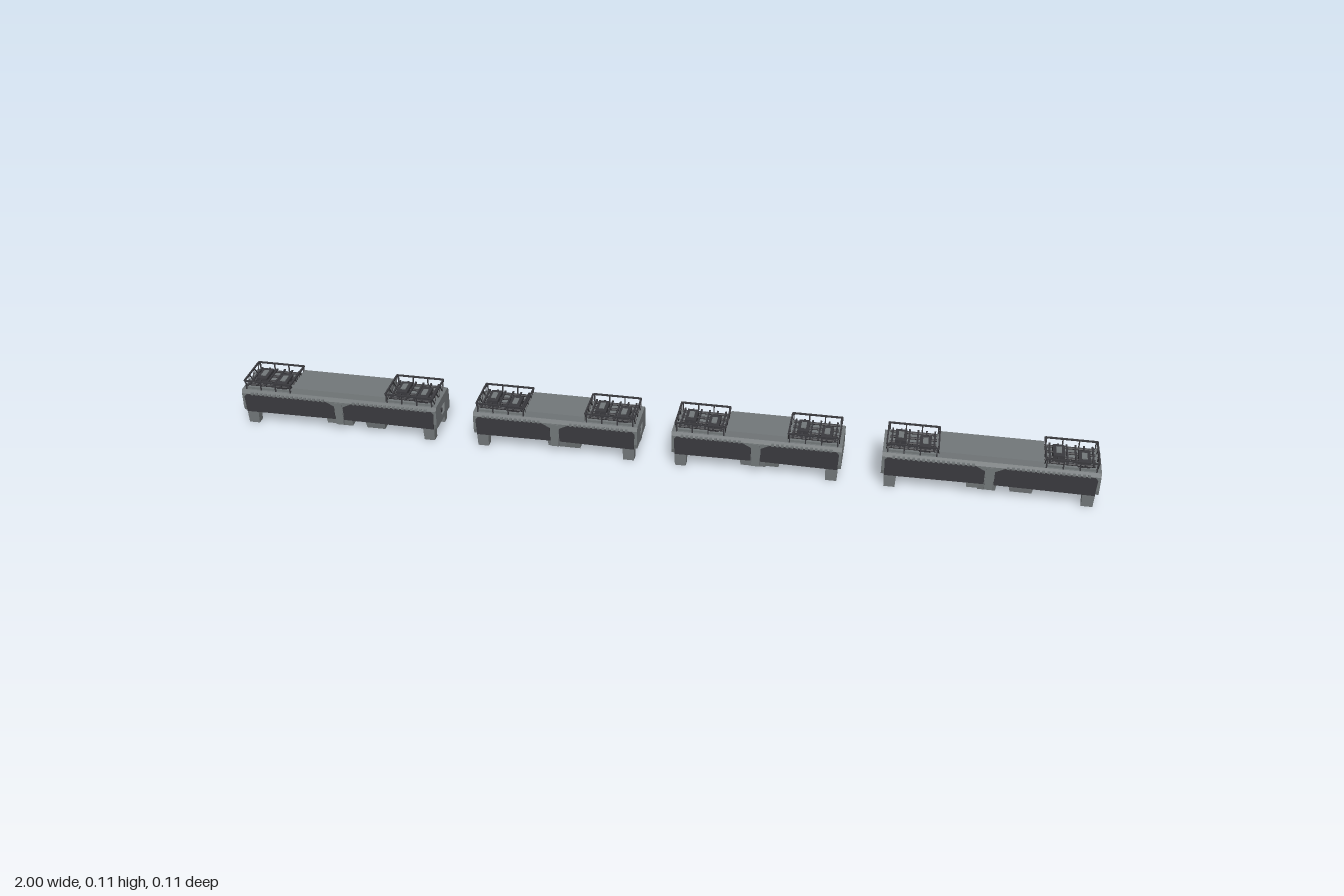
import * as THREE from 'three';

const mat = (name, color) => Object.assign(new THREE.MeshStandardMaterial({ color, flatShading: true }), { name });

export function createModel() {
  const grey = mat('body grey', 0x727779);
  const dark = mat('charcoal panel', 0x3a3a3e);
  const train = new THREE.Group();
  train.name = 'fourCarTrain';

  const add = (parent, name, geo, m, x = 0, y = 0, z = 0) => {
    const mesh = new THREE.Mesh(geo, m);
    mesh.name = name;
    mesh.position.set(x, y, z);
    parent.add(mesh);
    return mesh;
  };
  // Box given by its limits on each axis
  const box = (parent, name, m, x0, x1, y0, y1, z0, z1) =>
    add(parent, name, new THREE.BoxGeometry(x1 - x0, y1 - y0, z1 - z0), m, (x0 + x1) / 2, (y0 + y1) / 2, (z0 + z1) / 2);
  // Extrude a (z, y) section along x; the turn mirrors z, and every section is symmetric
  const alongX = (shape, x0, x1) => new THREE.ExtrudeGeometry(shape, { depth: x1 - x0, bevelEnabled: false })
    .rotateY(Math.PI / 2).translate(x0, 0, 0);
  const poly = (Type, pts) => new Type(pts.map(p => new THREE.Vector2(...p)));
  // Box narrowing toward the bottom
  const tapered = (w, h, d, k) => {
    const g = new THREE.BoxGeometry(w, h, d);
    const p = g.attributes.position;
    for (let i = 0; i < p.count; i++) if (p.getY(i) < 0) p.setXYZ(i, p.getX(i) * k, p.getY(i), p.getZ(i) * k);
    g.computeVertexNormals();
    return g;
  };

  const section = [[-0.049, 0.033], [0.049, 0.033], [0.052, 0.044], [0.052, 0.08], [0.047, 0.089], [-0.047, 0.089], [-0.052, 0.08], [-0.052, 0.044]];

  // Open equipment rack on the roof, from x0 to x1
  function roofRack(parent, x0, x1) {
    const rack = new THREE.Group();
    rack.name = 'roofRack';
    parent.add(rack);
    const t = 0.0018, top = 0.113, mid = (x0 + x1) / 2, len = x1 - x0;
    for (const s of [-1, 1]) {
      box(rack, 'sideRail', dark, x0, x1, top - 2 * t, top, s * 0.045 - t, s * 0.045 + t);
      for (let i = 0; i < 4; i++) {
        const x = x0 + 0.003 + (len - 0.006) * i / 3;
        box(rack, 'railPost', dark, x - 0.0014, x + 0.0014, 0.088, top - t, s * 0.045 - 0.0012, s * 0.045 + 0.0012);
      }
      box(rack, 'traySide', grey, x0, x1, 0.088, 0.094, s * 0.041 - 0.0015, s * 0.041 + 0.0015);
    }
    for (const x of [x0, x1]) {
      box(rack, 'endRail', dark, x - t, x + t, top - 2 * t, top, -0.045, 0.045);
      // zigzag bracing under the end rail
      for (let i = 0; i < 6; i++) {
        const brace = box(rack, 'endBrace', dark, x - 0.001, x + 0.001, 0.0868, 0.1112, -0.001, 0.001);
        brace.position.z = -0.0375 + i * 0.015;
        brace.rotation.x = i % 2 ? 0.58 : -0.58;
      }
    }
    // pipes, crossbars and units lying on the grey deck
    for (let i = 0; i < 4; i++) {
      const pipe = add(rack, 'roofPipe', new THREE.CylinderGeometry(0.003, 0.003, len - 0.01, 6), dark, mid, 0.096, -0.033 + i * 0.022);
      pipe.rotation.z = Math.PI / 2;
    }
    for (let i = 0; i < 6; i++) {
      const x = x0 + 0.01 + (len - 0.02) * i / 5;
      box(rack, 'crossBar', dark, x - 0.002, x + 0.002, 0.098, 0.101, -0.04, 0.04);
    }
    for (const s of [-1, 1]) {
      const x = mid + s * len * 0.24, z = s * 0.008;
      box(rack, 'roofUnit', dark, x - 0.013, x + 0.013, 0.089, 0.104, z - 0.024, z + 0.024);
      box(rack, 'roofUnitLid', grey, x - 0.006, x + 0.006, 0.104, 0.106, z - 0.012, z + 0.012);
    }
  }

  // One hollow car of the given half length; gear lists underfloor boxes as [x0, x1, bottom, z0, z1]
  function makeCar(name, half, panelHalf, gear) {
    const car = new THREE.Group();
    car.name = name;
    // hollow shell
    const shell = poly(THREE.Shape, section);
    shell.holes.push(poly(THREE.Path, section.map(([z, y]) => [z * 0.93, 0.061 + (y - 0.061) * 0.88])));
    add(car, 'bodyShell', alongX(shell, -half + 0.004, half - 0.004), grey);
    box(car, 'floor', dark, -half + 0.01, half - 0.01, 0.031, 0.034, -0.045, 0.045);
    // end walls with a trapezoid opening and a coupler block in its lower part
    const endWall = poly(THREE.Shape, section);
    endWall.holes.push(poly(THREE.Path, [[-0.009, 0.046], [0.009, 0.046], [0.017, 0.068], [-0.017, 0.068]]));
    const lip = poly(THREE.Shape, [[-0.013, 0.05], [-0.009, 0.045], [0.009, 0.045], [0.013, 0.05], [0.012, 0.054], [-0.012, 0.054]]);
    for (const s of [-1, 1]) {
      const e = s * half;
      add(car, 'endWall', alongX(endWall, Math.min(e, e - s * 0.008), Math.max(e, e - s * 0.008)), grey);
      add(car, 'couplerBlock', alongX(lip, Math.min(e - s * 0.004, e - s * 0.03), Math.max(e - s * 0.004, e - s * 0.03)), dark);
    }
    for (const s of [-1, 1]) {
      for (const e of [-1, 1]) {
        // dark side panels either side of a grey centre column
        const side = poly(THREE.Shape, [[e * 0.011, 0.034], [e * (half - 0.008), 0.032], [e * (half - 0.006), 0.072],
          [e * (half - 0.012), 0.079], [e * 0.032, 0.079], [e * 0.011, 0.068]]);
        add(car, 'sidePanel', new THREE.ExtrudeGeometry(side, { depth: 0.004, bevelEnabled: false }), dark, 0, 0, s > 0 ? 0.0497 : -0.0537);
        // row of small grey lugs along the eaves
        const n = Math.round((half - 0.05) / 0.011);
        for (let i = 0; i < n; i++) {
          const x = e * (0.038 + i * 0.011);
          box(car, 'eavesLug', grey, x - 0.003, x + 0.003, 0.078, 0.084, s * 0.0505 - 0.0035, s * 0.0505 + 0.0035);
        }
        // corner feet
        add(car, 'foot', tapered(0.028, 0.034, 0.021, 0.9), grey, e * (half - 0.021), 0.017, s * 0.041);
      }
      box(car, 'centreColumn', grey, -0.009, 0.009, 0.02, 0.078, s * 0.0505 - 0.003, s * 0.0505 + 0.003);
    }
    // underfloor equipment
    for (const [x0, x1, y0, z0, z1] of gear)
      add(car, 'underfloorBox', tapered(x1 - x0, 0.034 - y0, z1 - z0, 0.88), grey, (x0 + x1) / 2, (0.034 + y0) / 2, (z0 + z1) / 2);
    // raised roof panel with chamfered sides
    const panel = poly(THREE.Shape, [[-0.046, 0.088], [0.046, 0.088], [0.043, 0.102], [-0.043, 0.102]]);
    add(car, 'roofPanel', alongX(panel, -panelHalf, panelHalf), grey);
    roofRack(car, -half + 0.008, -panelHalf - 0.002);
    roofRack(car, panelHalf + 0.002, half - 0.008);
    return car;
  }

  const longGear = [[-0.1, -0.045, 0.014, -0.046, 0.02], [-0.02, 0.025, 0.005, -0.036, 0.036],
    [0.06, 0.11, 0.012, -0.02, 0.046], [-0.035, -0.005, 0.018, 0.03, 0.048], [0.02, 0.05, 0.018, -0.048, -0.03]];
  const shortGear = [[-0.055, -0.02, 0.016, -0.046, 0.03], [-0.025, 0.04, 0.005, -0.034, 0.034],
    [0.025, 0.06, 0.014, -0.03, 0.048]];
  const cars = [
    ['firstLongCar', -0.76, 0.24, 0.115, longGear, 0],
    ['firstShortCar', -0.235, 0.195, 0.07, shortGear, 0],
    ['secondShortCar', 0.235, 0.195, 0.07, shortGear, Math.PI],
    ['secondLongCar', 0.76, 0.24, 0.115, longGear, Math.PI],
  ];
  for (const [name, x, half, panelHalf, gear, turn] of cars) {
    const car = makeCar(name, half, panelHalf, gear);
    car.position.x = x;
    car.rotation.y = turn;
    train.add(car);
  }
  return train;
}
